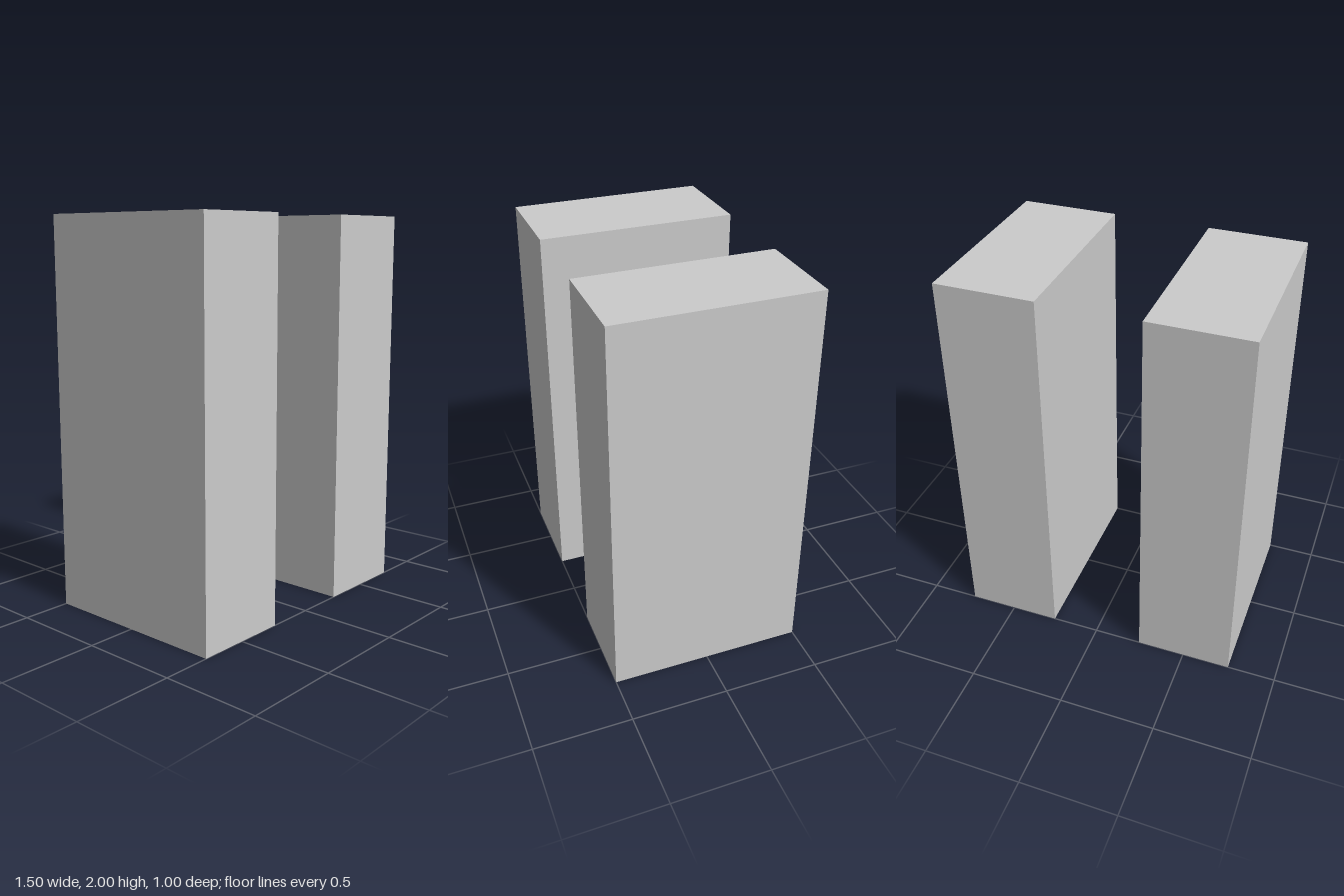
import * as THREE from 'three';

export function createModel() {
  const model = new THREE.Group();
  model.name = 'twinBlocks';
  const material = new THREE.MeshStandardMaterial({ color: 0xcccccc });
  const geometry = new THREE.BoxGeometry(0.5, 2, 1);

  // Two identical upright blocks, mirrored across the centre gap
  for (const [name, side] of [['leftBlock', 1], ['rightBlock', -1]]) {
    const block = new THREE.Mesh(geometry, material);
    block.name = name;
    block.position.set(side * 0.5, 1, 0);
    model.add(block);
  }
  return model;
}
